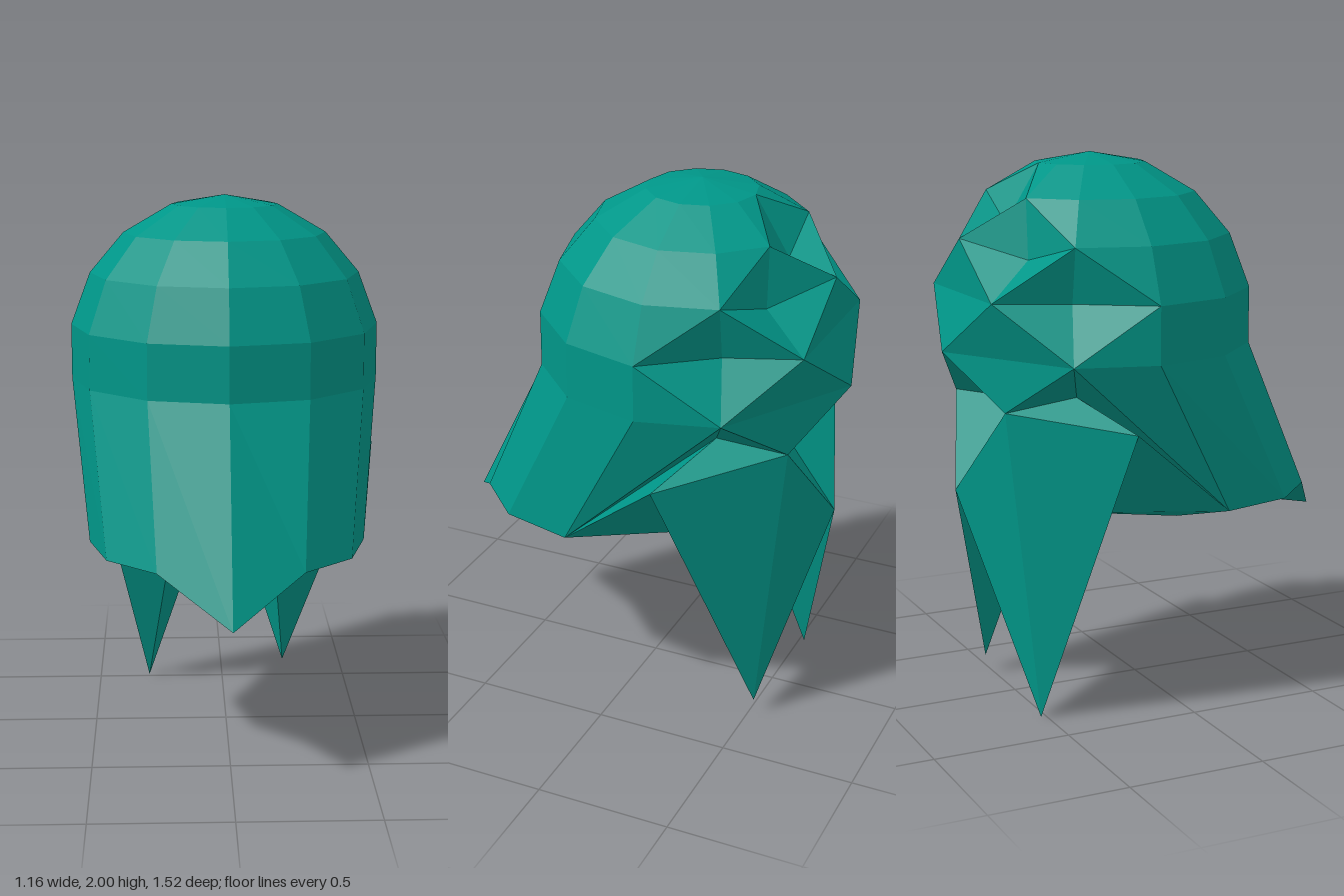
import * as THREE from 'three';

const material = new THREE.MeshStandardMaterial({ color: 0x009688, flatShading: true, side: THREE.DoubleSide });

// Ring of seven points on the +x half, from the front (0) round to the back (6)
const ring = (radius, y) => Array.from({ length: 7 }, (_, k) => {
  const a = k * Math.PI / 6;
  return [radius * Math.sin(a), y, -0.18 + radius * Math.cos(a)];
});
const mirror = ([x, y, z]) => [-x, y, z];
const mirrorFaces = (faces) => faces.map((f) => f.map(mirror).reverse());
const bothSides = (faces) => [...faces, ...mirrorFaces(faces)];

// Faces are lists of corners; each is split into a fan of triangles
function facets(name, faces) {
  const pos = [];
  for (const f of faces)
    for (let i = 1; i < f.length - 1; i++) pos.push(...f[0], ...f[i], ...f[i + 1]);
  const geo = new THREE.BufferGeometry();
  geo.setAttribute('position', new THREE.Float32BufferAttribute(pos, 3));
  geo.computeVertexNormals();
  const mesh = new THREE.Mesh(geo, material);
  mesh.name = name;
  return mesh;
}

// Quads between two rings, from column a to column b
function band(up, low, a, b) {
  const out = [];
  for (let k = a; k < b; k++) out.push([up[k], low[k], low[k + 1], up[k + 1]]);
  return out;
}

export function createModel() {
  const group = new THREE.Group();
  const apex = [0, 2, -0.18];
  const r1 = ring(0.2, 1.965), r2 = ring(0.38, 1.86), r3 = ring(0.507, 1.71);
  const r4 = ring(0.58, 1.515), r5 = ring(0.58, 1.31), neck = ring(0.38, 0.697);
  const rim = [[0, 0.585, 0.76], [0.26, 0.745, 0.58], [0.44, 0.745, 0.4], [0.51, 0.745, 0.13]];

  // Folds and knot at the back
  const foldTop = [0, 1.755, -0.51], foldHigh = [0.23, 1.65, -0.52];
  const foldSide = [0.38, 1.51, -0.42], foldMid = [0, 1.515, -0.682];
  const foldLow = [0.32, 1.17, -0.38], knotIn = [0, 1.12, -0.48];
  const knot = [0.245, 1.12, -0.62], knotEnd = [0, 0.8, -0.72];
  const nape = [0.19, 0.71, -0.29], napeMid = [0, 0.71, -0.29];

  // Rounded crown
  const crown = [];
  for (let k = 0; k < 6; k++) crown.push([apex, r1[k], r1[k + 1]]);
  crown.push(...band(r1, r2, 0, 5), ...band(r2, r3, 0, 4), ...band(r3, r4, 0, 3), ...band(r4, r5, 0, 3));
  group.add(facets('crown', bothSides(crown)));

  // Pointed cloth over the face
  group.add(facets('faceCloth', bothSides(band(r5, rim, 0, 3))));

  // Creased cloth at the back
  group.add(facets('backFolds', bothSides([
    [r1[5], r2[5], r1[6]],
    [r1[6], r2[5], foldTop],
    [foldTop, r2[5], r3[6]],
    [r2[4], r3[4], r2[5]],
    [r2[5], r3[4], foldHigh],
    [r2[5], foldHigh, r3[6]],
    [foldHigh, r3[4], r4[5]],
    [foldHigh, r4[5], r3[6]],
    [r3[3], r4[3], r3[4]],
    [r3[4], r4[3], foldSide],
    [r3[4], foldSide, r4[5]],
    [foldSide, r4[3], r5[4]],
    [foldSide, r5[4], r4[5]],
    [r4[3], r5[3], r5[4]],
    [r3[6], r4[5], foldMid],
    [foldMid, r4[5], r5[6]],
    [r4[5], r5[4], r5[6]],
    [r5[6], r5[4], knot],
    [r5[6], knot, knotIn],
    [r5[4], foldLow, knot],
    [knotIn, knot, knotEnd],
    [r5[3], rim[3], r5[4]],
    [r5[4], rim[3], foldLow],
  ])));

  // Underside and neck
  const centre = [0, 0.7, -0.18];
  group.add(facets('neckUnderside', bothSides([
    ...band(rim, neck, 0, 2),
    [rim[2], neck[2], rim[3]],
    [rim[3], neck[2], nape],
    [neck[0], centre, neck[1]],
    [neck[1], centre, neck[2]],
    [neck[2], centre, nape],
    [nape, centre, napeMid],
    [nape, napeMid, knotEnd],
  ])));

  // Hanging tail, given on the +x side: a four-cornered top running to a point, joined to the rim
  const tailFaces = (outer, tip) => {
    const loop = [nape, outer, knot, knotEnd];
    return [
      ...loop.map((p, i) => [p, tip, loop[(i + 1) % 4]]),
      [foldLow, outer, knot],
      [foldLow, rim[3], outer],
      [rim[3], nape, outer],
    ];
  };
  group.add(facets('leftTail', tailFaces([0.575, 1.04, -0.24], [0.25, 0.06, -0.52])));
  group.add(facets('rightTail', mirrorFaces(tailFaces([0.53, 1.06, -0.24], [0.3, 0, -0.52]))));

  return group;
}
